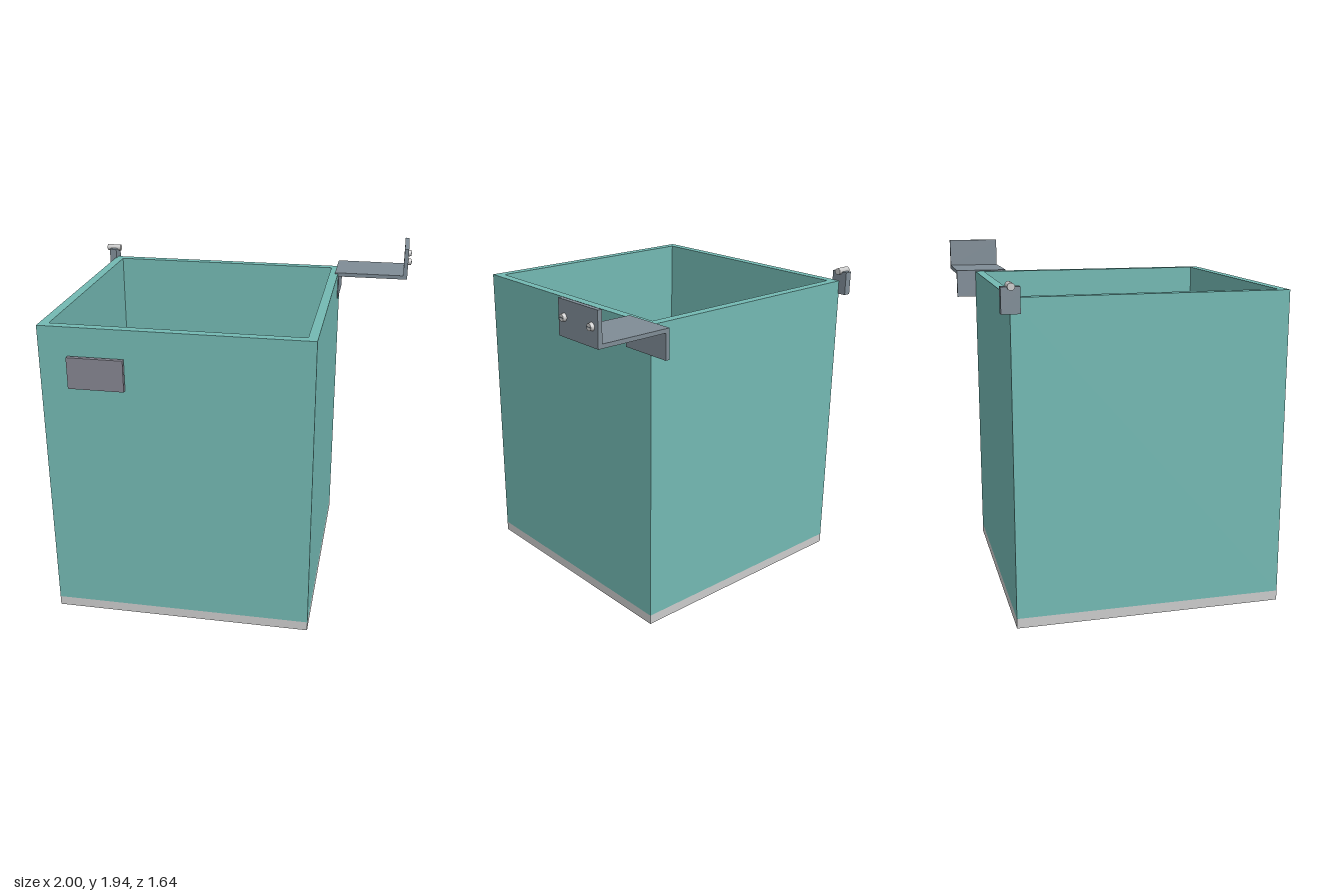
import * as THREE from 'three';

const material = (color) => new THREE.MeshStandardMaterial({ color });

export function createModel() {
  const model = new THREE.Group();
  model.name = 'wallBin';
  const teal = material(0x73b9b3);
  const grey = material(0xcccccc);
  const steel = material(0x7f8c96);
  const plate = material(0x858590);

  const add = (parent, name, geometry, mat) => {
    const mesh = new THREE.Mesh(geometry, mat);
    mesh.name = name;
    parent.add(mesh);
    return mesh;
  };
  // Box given by its limits on each axis
  const block = (parent, name, mat, [x0, x1], [y0, y1], [z0, z1]) =>
    add(parent, name, new THREE.BoxGeometry(x1 - x0, y1 - y0, z1 - z0), mat)
      .position.set((x0 + x1) / 2, (y0 + y1) / 2, (z0 + z1) / 2);
  // Cylinder lying along x
  const rod = (parent, name, mat, r0, r1, x0, x1, y, z) => {
    const geometry = new THREE.CylinderGeometry(r1, r0, x1 - x0, 24).rotateZ(-Math.PI / 2);
    add(parent, name, geometry, mat).position.set((x0 + x1) / 2, y, z);
  };
  const rect = (target, x0, x1, y0, y1) => {
    target.moveTo(x0, y0).lineTo(x1, y0).lineTo(x1, y1).lineTo(x0, y1).closePath();
    return target;
  };

  // Bin: floor slab and four walls as one square tube
  const X = [-0.938, 0.55], Z = [-0.704, 0.784], floor = 0.055, top = 1.763, wall = 0.052;
  block(model, 'floor', grey, X, [0, floor], Z);
  const outline = rect(new THREE.Shape(), X[0], X[1], -Z[1], -Z[0]);
  outline.holes.push(rect(new THREE.Path(), X[0] + wall, X[1] - wall, -Z[1] + wall, -Z[0] - wall));
  const walls = new THREE.ExtrudeGeometry(outline, { depth: top - floor, bevelEnabled: false });
  add(model, 'walls', walls.rotateX(-Math.PI / 2), teal).position.y = floor;

  // Label plate just off the front wall
  block(model, 'labelPlate', plate, [-0.775, -0.465], [1.427, 1.604], [0.793, 0.818]);

  // Z-shaped mounting bracket, bent from one strip
  const bracket = new THREE.Group();
  bracket.name = 'mountingBracket';
  model.add(bracket);
  const strip = [[0.532, 1.604], [0.556, 1.604], [0.556, 1.747], [0.978, 1.747], [0.978, 1.937],
    [0.953, 1.937], [0.953, 1.77], [0.532, 1.77]];
  const profile = new THREE.Shape(strip.map(([x, y]) => new THREE.Vector2(x, y)));
  add(bracket, 'bracketStrip',
    new THREE.ExtrudeGeometry(profile, { depth: 0.311, bevelEnabled: false }), steel).position.z = -0.822;

  // Slotted screws on the outer flange
  for (const z of [-0.776, -0.558]) {
    rod(bracket, 'screwHead', grey, 0.021, 0.018, 0.977, 0.997, 1.849, z);
    block(bracket, 'screwSlot', steel, [0.99, 1.0], [1.847, 1.851], [z - 0.016, z + 0.016]);
  }

  // Hinge lug and pin on the opposite back corner
  const hinge = new THREE.Group();
  hinge.name = 'hinge';
  model.add(hinge);
  block(hinge, 'hingeLug', steel, [-0.975, -0.932], [1.685, 1.82], [-0.754, -0.656]);
  rod(hinge, 'hingePin', grey, 0.019, 0.019, -1.0, -0.912, 1.822, -0.705);

  return model;
}
